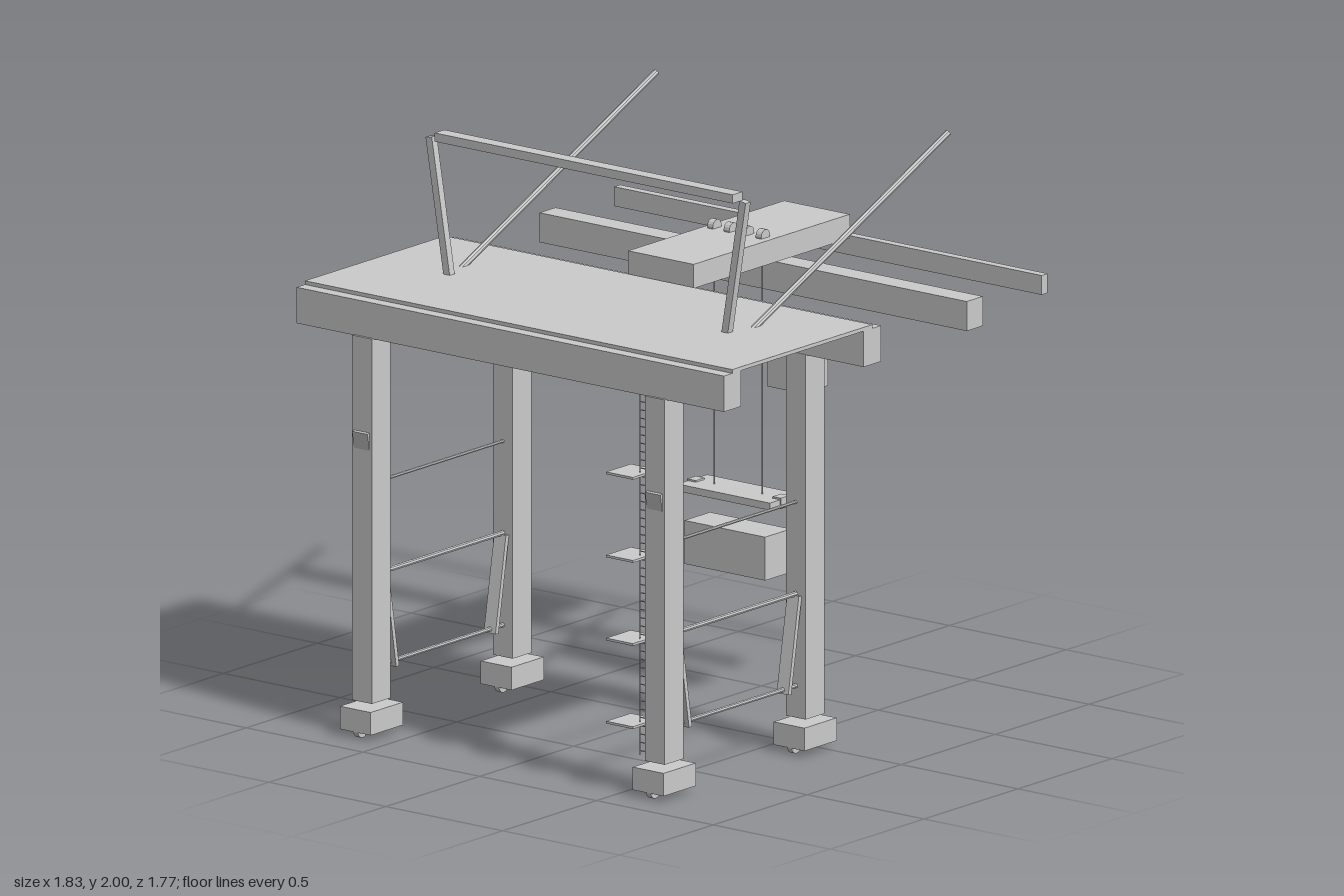
import * as THREE from 'three';

const material = new THREE.MeshStandardMaterial({ color: 0xcccccc, flatShading: true });

export function createModel() {
  const model = new THREE.Group();
  model.name = 'gantryCrane';

  const add = (name, geometry, parent = model) => {
    const mesh = new THREE.Mesh(geometry, material);
    mesh.name = name;
    parent.add(mesh);
    return mesh;
  };
  // box given by its [min, max] range on each axis
  const box = (name, [x0, x1], [y0, y1], [z0, z1], parent) => {
    const mesh = add(name, new THREE.BoxGeometry(x1 - x0, y1 - y0, z1 - z0), parent);
    mesh.position.set((x0 + x1) / 2, (y0 + y1) / 2, (z0 + z1) / 2);
    return mesh;
  };
  // aim the y axis of a mesh from a to b
  const span = (mesh, a, b) => {
    mesh.position.copy(a).add(b).multiplyScalar(0.5);
    mesh.quaternion.setFromUnitVectors(new THREE.Vector3(0, 1, 0), b.clone().sub(a).normalize());
    return mesh;
  };
  const rod = (name, a, b, r, sides = 8, parent) => {
    const p = new THREE.Vector3(...a), q = new THREE.Vector3(...b);
    return span(add(name, new THREE.CylinderGeometry(r, r, p.distanceTo(q), sides), parent), p, q);
  };
  const bar = (name, a, b, w, d) => {
    const p = new THREE.Vector3(...a), q = new THREE.Vector3(...b);
    return span(add(name, new THREE.BoxGeometry(w, p.distanceTo(q), d), model), p, q);
  };

  const legX = 0.627, frontZ = 0.797, backZ = 0.047;

  // legs, wheeled feet and lamps
  for (const x of [-legX, legX]) {
    for (const z of [frontZ, backZ]) {
      const out = z === frontZ ? 1 : -1;
      const leg = new THREE.Group();
      leg.name = 'legAssembly';
      leg.position.set(x, 0, z);
      model.add(leg);
      box('leg', [-0.042, 0.042], [0.12, 1.38], [-0.05, 0.05], leg);
      box('foot', [-0.066, 0.066], [0.023, 0.102], [-0.086, 0.086], leg);
      for (const dz of [-0.058, 0, 0.058]) {
        rod('wheel', [-0.01, 0.026, dz], [0.01, 0.026, dz], 0.026, 16, leg);
      }
      const lamp = box('lamp', [-0.033, 0.033], [0.995, 1.055], [-0.015, 0.015], leg);
      lamp.position.z = out * 0.042;
      lamp.rotation.x = out * 0.17;
    }

    // side frame: cross rods and sloping knee plates
    for (const [y, r] of [[0.865, 0.006], [0.548, 0.009], [0.23, 0.008]]) {
      rod('crossRod', [x, y, 0.09], [x, y, 0.755], r);
    }
    bar('kneePlate', [x, 0.215, 0.688], [x, 0.545, 0.742], 0.05, 0.016);
    bar('kneePlate', [x, 0.215, 0.16], [x, 0.545, 0.104], 0.05, 0.016);

    // long inclined stays and leaning posts of the top frame
    const s = Math.sign(x);
    rod('stay', [s * 0.625, 1.365, 0.643], [s * 0.625, 1.97, -0.715], 0.011);
    bar('framePost', [s * 0.588, 1.47, 0.423], [s * 0.672, 1.978, 0.423], 0.027, 0.027);
  }
  box('frameTopBeam', [-0.638, 0.638], [1.97, 2], [0.395, 0.447]);

  // girders and deck
  box('frontGirder', [-0.915, 0.915], [1.378, 1.502], [0.748, 0.838]);
  box('backGirder', [-0.915, 0.915], [1.378, 1.502], [0.002, 0.094]);
  box('deck', [-0.915, 0.915], [1.502, 1.515], [0.048, 0.793]);

  // ladder with landings beside the front left leg
  for (const x of [0.523, 0.562]) {
    box('ladderRail', [x - 0.0015, x + 0.0015], [0.12, 1.38], [0.795, 0.799]);
  }
  for (let i = 0; i < 44; i++) {
    rod('rung', [0.522, 0.135 + i * 0.0287, 0.797], [0.563, 0.135 + i * 0.0287, 0.797], 0.002, 6);
  }
  for (let i = 0; i < 4; i++) {
    const y = 0.23 + i * 0.287;
    box('landing', [0.43, 0.545], [y - 0.004, y + 0.004], [0.73, 0.862]);
  }

  // outreach beams and trolley
  box('outerGirder', [-0.915, 0.915], [1.388, 1.49], [-0.541, -0.455]);
  box('farRail', [-0.915, 0.915], [1.43, 1.497], [-0.885, -0.853]);
  box('trolley', [-0.142, 0.139], [1.507, 1.59], [-0.797, 0.034]);
  for (const x of [-0.107, -0.037, 0.033, 0.1]) {
    rod('sheave', [x - 0.012, 1.597, -0.382], [x + 0.012, 1.597, -0.382], 0.023, 16);
  }

  // hoist cables and spreader
  for (const x of [-0.105, 0.1]) rod('cable', [x, 0.7, -0.379], [x, 1.51, -0.379], 0.003, 6);
  box('spreader', [-0.2, 0.195], [0.68, 0.705], [-0.459, -0.302]);
  box('spreaderEnd', [-0.203, -0.166], [0.674, 0.711], [-0.403, -0.357]);
  box('spreaderEnd', [0.162, 0.198], [0.674, 0.711], [-0.403, -0.357]);

  // hanging container with ribs on its rear side
  box('container', [-0.176, 0.17], [0.432, 0.582], [-0.445, -0.308]);
  for (let i = 0; i < 7; i++) {
    const x = -0.15 + i * 0.049;
    box('containerRib', [x - 0.006, x + 0.006], [0.437, 0.577], [-0.452, -0.443]);
  }

  // operator cabin
  box('cabin', [0.22, 0.372], [1.122, 1.273], [-0.392, -0.257]);
  box('cabinRoof', [0.212, 0.378], [1.272, 1.284], [-0.4, -0.252]);
  box('cabinWindow', [0.236, 0.356], [1.165, 1.25], [-0.4, -0.39]);

  return model;
}
